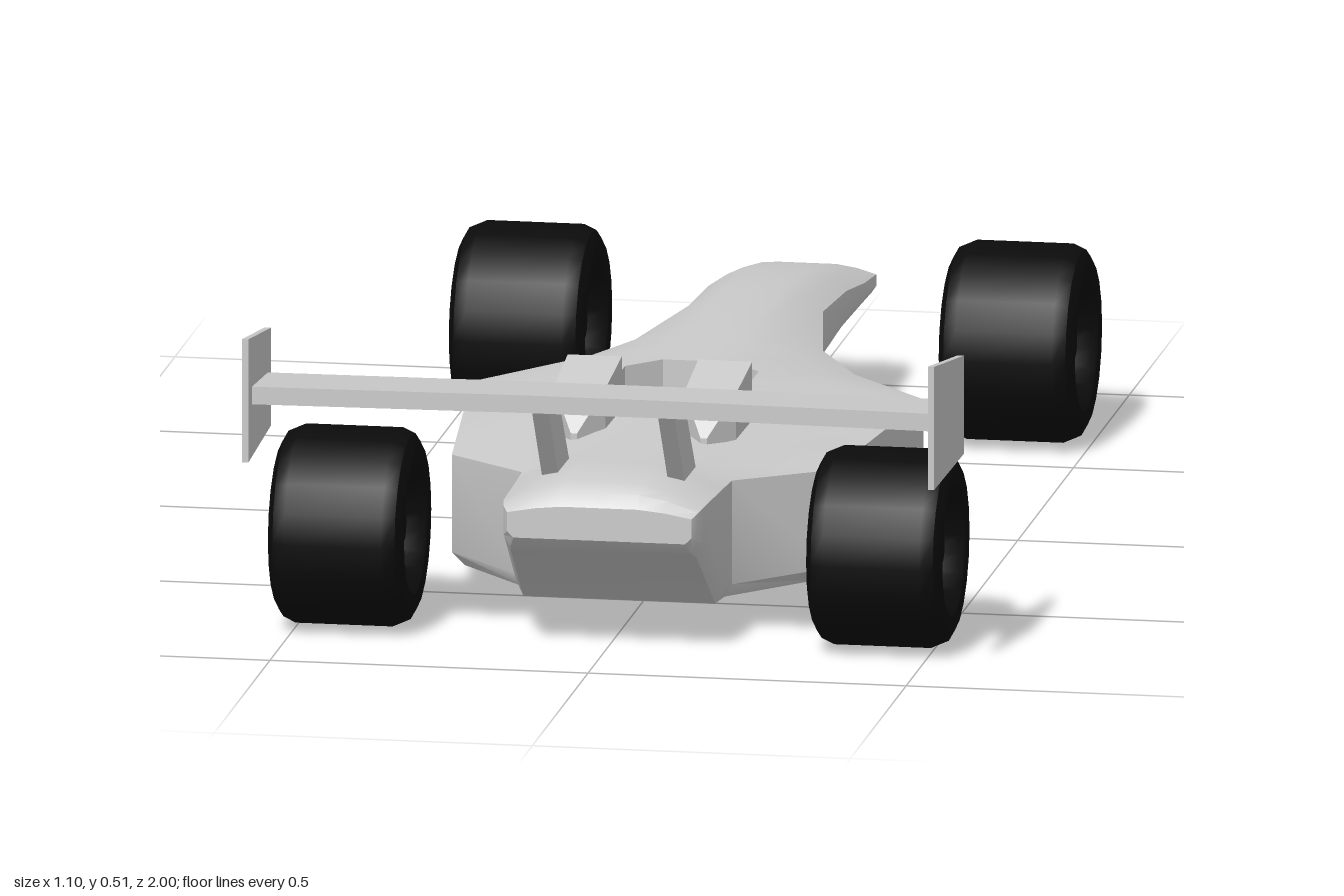
import * as THREE from 'three';
import { toCreasedNormals } from 'three/addons/utils/BufferGeometryUtils.js';

const grey = new THREE.MeshStandardMaterial({ color: 0xcccccc });
const greyDouble = new THREE.MeshStandardMaterial({ color: 0xcccccc, side: THREE.DoubleSide });
const black = new THREE.MeshStandardMaterial({ color: 0x0b0b0b });

// Skin a list of equal-length rings (clockwise seen from the far end); skip(i, j) leaves cells open
function loft(rings, { startCap = true, endCap = true, skip = () => false, crease = 0.5 } = {}) {
  const n = rings[0].length, index = [];
  for (let i = 0; i < rings.length - 1; i++) {
    for (let j = 0; j < n; j++) {
      if (skip(i, j)) continue;
      const k = (j + 1) % n;
      const a = i * n + j, b = i * n + k, c = (i + 1) * n + k, d = (i + 1) * n + j;
      index.push(a, d, b, b, d, c);
    }
  }
  const last = (rings.length - 1) * n;
  for (let j = 1; j < n - 1; j++) {
    if (startCap) index.push(0, j, j + 1);
    if (endCap) index.push(last, last + j + 1, last + j);
  }
  const geo = new THREE.BufferGeometry();
  geo.setAttribute('position', new THREE.Float32BufferAttribute(rings.flat(2), 3));
  geo.setIndex(index);
  return toCreasedNormals(geo, crease);
}

function add(parent, name, geo, material = grey) {
  const mesh = new THREE.Mesh(geo, material);
  mesh.name = name;
  parent.add(mesh);
  return mesh;
}

// Body sections: z, half width, top, upper edge, lower edge, bottom, half width of the flat crown
const sections = [
  [-1.0, 0.09, 0.188, 0.182, 0.172, 0.166, 0.04],
  [-0.97, 0.108, 0.2, 0.186, 0.168, 0.157, 0.045],
  [-0.85, 0.11, 0.227, 0.2, 0.178, 0.163, 0.05],
  [-0.7, 0.108, 0.252, 0.222, 0.184, 0.165, 0.05],
  [-0.5, 0.106, 0.268, 0.235, 0.18, 0.156, 0.045],
  [-0.24, 0.152, 0.272, 0.235, 0.167, 0.132, 0.045],
  [-0.11, 0.225, 0.272, 0.23, 0.125, 0.095, 0.05],
  [0.015, 0.355, 0.272, 0.225, 0.075, 0.055, 0.055],
  [0.07, 0.349, 0.272, 0.225, 0.074, 0.055, 0.105],
  [0.295, 0.324, 0.272, 0.225, 0.072, 0.052, 0.105],
  [0.35, 0.318, 0.272, 0.225, 0.071, 0.052, 0.058],
  [0.51, 0.3, 0.272, 0.225, 0.07, 0.05, 0.06],
  [0.65, 0.165, 0.273, 0.235, 0.07, 0.05, 0.06],
  [0.72, 0.162, 0.274, 0.237, 0.08, 0.055, 0.06],
  [0.86, 0.157, 0.275, 0.24, 0.185, 0.16, 0.06],
  [0.885, 0.153, 0.262, 0.237, 0.19, 0.172, 0.06],
  [0.9, 0.145, 0.242, 0.23, 0.2, 0.19, 0.06],
];

function bodyRing([z, w, top, edge, low, bottom, crown]) {
  const half = [
    [0, top, z],
    [crown, top, z],
    [crown + (w - crown) * 0.5, top - (top - edge) * 0.35, z],
    [w, edge, z],
    [w, low, z],
    [w * 0.93, bottom, z],
    [0, bottom, z],
  ];
  const mirrored = half.slice(1, -1).reverse().map(([x, y, zz]) => [-x, y, zz]);
  return [...half, ...mirrored];
}

// Headrest fairing with a hollow front, tapering back to a point
function fairing() {
  const ring = (z, x0, x1, y0, y1) => [[x0, y1, z], [x1, y1, z], [x1, y0, z], [x0, y0, z]];
  return loft([
    ring(0.45, 0.078, 0.126, 0.275, 0.325),
    ring(0.355, 0.074, 0.131, 0.275, 0.34),
    ring(0.355, 0.06, 0.145, 0.262, 0.355),
    ring(0.49, 0.062, 0.143, 0.262, 0.335),
    ring(0.545, 0.097, 0.107, 0.262, 0.275),
  ], { crease: 0.3 });
}

// Tyre with recessed faces, hub and spokes; axle along x
function wheel(name, x, z) {
  const g = new THREE.Group();
  g.name = name;
  const half = [[0.08, 0.055], [0.095, 0.095], [0.105, 0.104], [0.128, 0.106], [0.146, 0.096], [0.155, 0.076]];
  const profile = [
    [0, -0.055], ...half.map(([r, t]) => [r, -t]),
    ...half.slice().reverse(), [0, 0.055],
  ].map(([r, t]) => new THREE.Vector2(r, t));
  const tyre = toCreasedNormals(new THREE.LatheGeometry(profile, 20), 0.6);
  add(g, 'tyre', tyre.rotateZ(Math.PI / 2), black);
  add(g, 'hub', new THREE.CylinderGeometry(0.025, 0.025, 0.17, 12).rotateZ(Math.PI / 2), black);
  for (const side of [-1, 1]) {
    for (let i = 0; i < 5; i++) {
      const spoke = new THREE.BoxGeometry(0.02, 0.07, 0.016).translate(side * 0.062, 0.05, 0);
      add(g, 'spoke', spoke.rotateX(i * Math.PI * 0.4), black);
    }
  }
  g.position.set(x, 0.158, z);
  return g;
}

// Plate drawn in the side plane as [z, y] points, thickness along x
function sidePlate(points, thickness) {
  const shape = new THREE.Shape(points.map(([z, y]) => new THREE.Vector2(-z, y)));
  return new THREE.ExtrudeGeometry(shape, { depth: thickness, bevelEnabled: false })
    .translate(0, 0, -thickness / 2).rotateY(Math.PI / 2);
}

export function createModel() {
  const car = new THREE.Group();
  car.name = 'racingCar';

  // Shell, open over the cockpit between the sections that outline it
  const cockpitCell = (i, j) => i >= 7 && i <= 9 && (j === 0 || j === 11);
  add(car, 'body', loft(sections.map(bodyRing), { skip: cockpitCell, crease: 0.55 }));

  // Cockpit tub
  const corners = [[0.055, 0.015], [0.105, 0.07], [0.105, 0.295], [0.058, 0.35]];
  const outline = [...corners, ...corners.slice().reverse().map(([x, z]) => [-x, z])];
  const tub = [0.272, 0.14].map((y) => outline.map(([x, z]) => [x, y, z]));
  add(car, 'cockpitTub', loft(tub, { startCap: false }), greyDouble);

  // Wheels, fairings, wing struts and end plates in mirrored pairs
  for (const side of [-1, 1]) {
    const label = side > 0 ? 'left' : 'right';
    car.add(wheel(label + 'NoseWheel', side * 0.385, -0.68));
    car.add(wheel(label + 'TailWheel', side * 0.423, 0.725));

    const rest = add(car, label + 'HeadrestFairing', fairing(), greyDouble);
    rest.scale.x = side;

    const strut = sidePlate([[0.67, 0.255], [0.77, 0.255], [0.88, 0.405], [0.79, 0.405]], 0.026);
    add(car, label + 'WingStrut', strut).position.x = side * 0.099;

    const plate = sidePlate([[0.765, 0.32], [1.0, 0.316], [1.0, 0.512], [0.765, 0.476]], 0.01);
    const pos = plate.attributes.position;
    for (let i = 0; i < pos.count; i++) {
      pos.setX(i, pos.getX(i) + side * (0.542 - (pos.getZ(i) - 0.88) * 0.025));
    }
    plate.computeVertexNormals();
    add(car, label + 'EndPlate', plate);
  }

  // Rear wing, slightly bowed toward the nose in the middle
  const wingRing = (x, front, back) => [
    [x, 0.412, front], [x, 0.397, front], [x, 0.4, back], [x, 0.428, back],
  ];
  const wing = [[-0.54, 0.795, 0.962], [-0.1, 0.785, 0.947], [0.1, 0.785, 0.947], [0.54, 0.795, 0.962]];
  add(car, 'rearWing', loft(wing.map((s) => wingRing(...s)), { crease: 0.3 }), greyDouble);

  return car;
}
